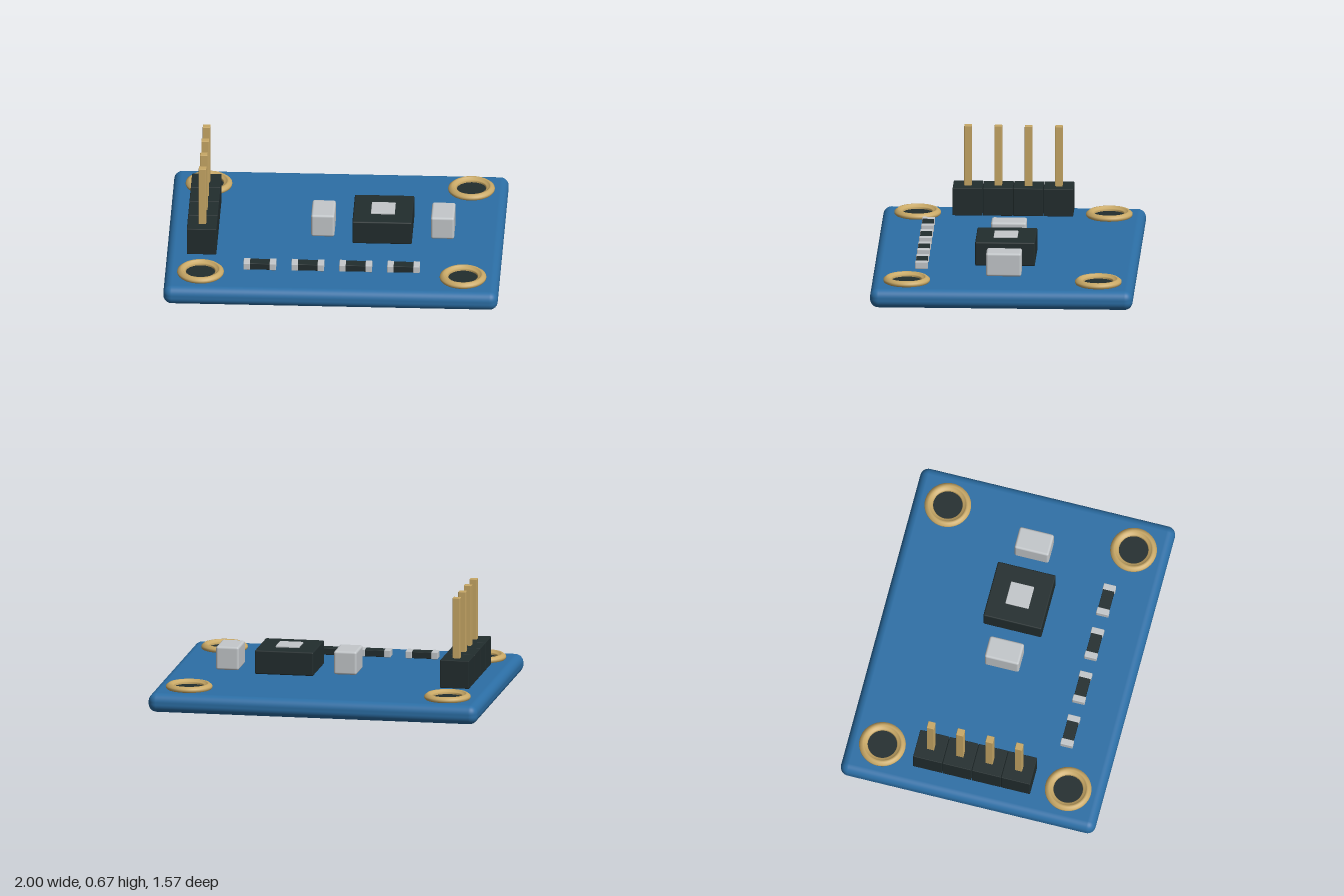
import * as THREE from 'three';
import { RoundedBoxGeometry } from 'three/addons/geometries/RoundedBoxGeometry.js';

const mat = (name, color) => {
  const m = new THREE.MeshStandardMaterial({ color });
  m.name = name;
  return m;
};

export function createModel() {
  const blue = mat('board blue', 0x2c6fa6);
  const dark = mat('dark plastic', 0x222d2e);
  const gold = mat('gold', 0xc8a866);
  const silver = mat('silver', 0xc4c8cb);
  const root = new THREE.Group();
  root.name = 'sensorBoard';

  const add = (name, geometry, material, x, y, z, parent = root) => {
    const mesh = new THREE.Mesh(geometry, material);
    mesh.name = name;
    mesh.position.set(x, y, z);
    parent.add(mesh);
    return mesh;
  };
  // Box standing on y0, with a small rounded edge
  const block = (name, w, h, d, r, material, x, y0, z, parent) =>
    add(name, new RoundedBoxGeometry(w, h, d, 2, r), material, x, y0 + h / 2, z, parent);

  // Circuit board
  add('board', new RoundedBoxGeometry(2, 0.115, 1.57, 5, 0.05), blue, 0, 0.0575, 0);

  // Mounting holes: rounded gold collar around a dark recess
  const collar = [
    [0.088, 0.11], [0.088, 0.13], [0.092, 0.136], [0.104, 0.138], [0.108, 0.146], [0.115, 0.148],
    [0.123, 0.147], [0.13, 0.141], [0.138, 0.135], [0.14, 0.127], [0.138, 0.119], [0.13, 0.11],
  ].map(([r, y]) => new THREE.Vector2(r, y)).reverse();
  const collarGeometry = new THREE.LatheGeometry(collar.reverse(), 40);
  const collarMaterial = gold;
  collarMaterial.side = THREE.DoubleSide;
  for (const x of [-0.785, 0.785]) {
    for (const z of [-0.573, 0.573]) {
      const hole = new THREE.Group();
      hole.name = 'mountingHole';
      hole.position.set(x, 0, z);
      root.add(hole);
      add('holeCollar', collarGeometry, collarMaterial, 0, 0, 0, hole);
      add('holeRecess', new THREE.CylinderGeometry(0.092, 0.092, 0.01, 40), dark, 0, 0.118, 0, hole);
    }
  }

  // Four-pin header
  const header = new THREE.Group();
  header.name = 'pinHeader';
  root.add(header);
  for (let i = 0; i < 4; i++) {
    const z = (i - 1.5) * 0.181;
    block('headerBlock', 0.177, 0.17, 0.178, 0.004, dark, -0.788, 0.131, z, header);
    block('headerPin', 0.045, 0.53, 0.045, 0.003, gold, -0.786, 0.138, z, header);
  }

  // Main chip with its sensor window
  block('chip', 0.356, 0.145, 0.358, 0.008, dark, 0.283, 0.131, -0.001);
  block('chipWindow', 0.143, 0.02, 0.143, 0.004, silver, 0.283, 0.265, 0);

  // Capacitors either side of the chip
  for (const x of [-0.075, 0.641]) {
    block('capacitor', 0.14, 0.143, 0.212, 0.014, silver, x, 0.131, -0.003);
  }

  // Row of surface resistors with metal ends
  for (let i = 0; i < 4; i++) {
    const resistor = new THREE.Group();
    resistor.name = 'resistor';
    resistor.position.set(-0.433 + i * 0.2865, 0, 0.496);
    root.add(resistor);
    block('resistorBody', 0.13, 0.04, 0.068, 0.003, dark, 0, 0.124, 0, resistor);
    for (const side of [-1, 1]) {
      block('resistorEnd', 0.039, 0.044, 0.076, 0.004, silver, side * 0.078, 0.123, 0, resistor);
    }
  }
  return root;
}
